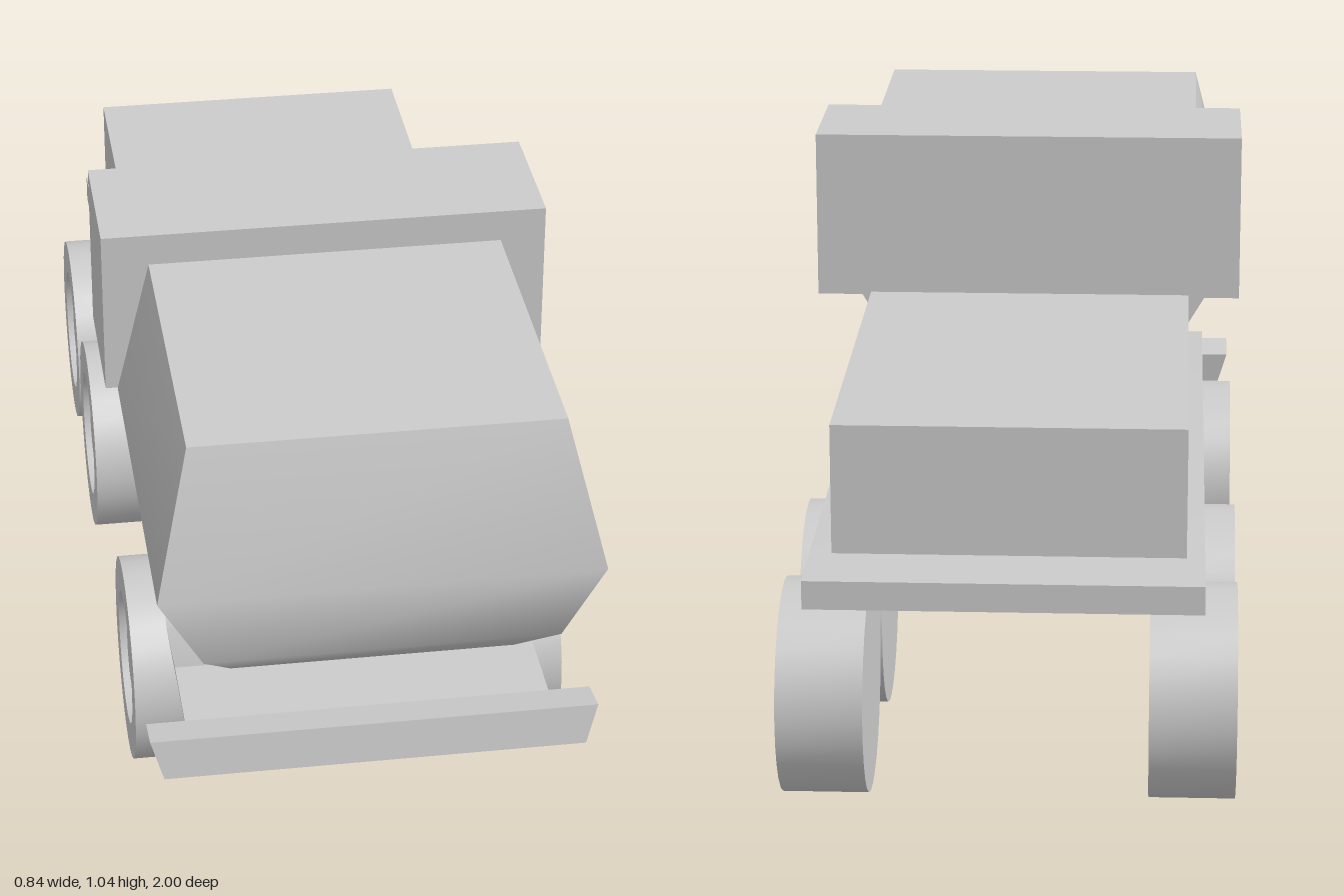
import * as THREE from 'three';
import { toCreasedNormals } from 'three/addons/utils/BufferGeometryUtils.js';

const material = new THREE.MeshStandardMaterial({ color: 0xcccccc });

function addMesh(parent, name, geometry) {
  const mesh = new THREE.Mesh(geometry, material);
  mesh.name = name;
  parent.add(mesh);
  return mesh;
}

// Closed solid through a stack of four-cornered sections
function loft(rings, crease = 0.95) {
  const index = [];
  const n = 4;
  for (let r = 0; r < rings.length - 1; r++) {
    for (let i = 0; i < n; i++) {
      const a = r * n + i, b = r * n + (i + 1) % n;
      index.push(a, b, b + n, a, b + n, a + n);
    }
  }
  const last = (rings.length - 1) * n;
  index.push(0, 2, 1, 0, 3, 2, last, last + 1, last + 2, last, last + 2, last + 3);
  const geometry = new THREE.BufferGeometry();
  geometry.setAttribute('position', new THREE.Float32BufferAttribute(rings.flat(2), 3));
  geometry.setIndex(index);
  return toCreasedNormals(geometry, crease);
}

// Box given by its limits on each axis
function box(x0, x1, y0, y1, z0, z1) {
  return new THREE.BoxGeometry(x1 - x0, y1 - y0, z1 - z0)
    .translate((x0 + x1) / 2, (y0 + y1) / 2, (z0 + z1) / 2);
}

function wheelGeometry() {
  // Radius and distance outward: plain inner face, tread, stepped rim, hub
  const profile = [
    [0, 0], [0.197, 0], [0.197, 0.157], [0.13, 0.157], [0.125, 0.128],
    [0.107, 0.128], [0.102, 0.115], [0.065, 0.115], [0.058, 0.148], [0, 0.148],
  ].map(([r, h]) => new THREE.Vector2(r, h));
  return toCreasedNormals(new THREE.LatheGeometry(profile, 28), 0.6).rotateZ(-Math.PI / 2);
}

export function createModel() {
  const model = new THREE.Group();
  model.name = 'truck';

  // Chassis: flat deck, bend at the front, low step plate
  // top z, top y, bottom z, bottom y, top half width, bottom half width
  const chassis = [
    [-1, 0.47, -1, 0.417, 0.355, 0.355],
    [0.59, 0.469, 0.595, 0.42, 0.355, 0.34],
    [0.622, 0.461, 0.615, 0.405, 0.355, 0.34],
    [0.65, 0.4, 0.635, 0.38, 0.352, 0.34],
    [0.668, 0.325, 0.66, 0.28, 0.34, 0.335],
    [0.865, 0.325, 0.865, 0.28, 0.34, 0.335],
  ].map(([zt, yt, zb, yb, wt, wb]) =>
    [[-wb, yb, zb], [wb, yb, zb], [wt, yt, zt], [-wt, yt, zt]]);
  addMesh(model, 'chassis', loft(chassis));

  // Tilted front bumper, narrower at the bottom
  const bumper = [
    [0.39, 0.281, 0.944, 0.262, 0.863],
    [0.413, 0.356, 0.93, 0.34, 0.853],
  ].map(([w, yf, zf, yb, zb]) => [[-w, yf, zf], [w, yf, zf], [w, yb, zb], [-w, yb, zb]]);
  addMesh(model, 'bumper', loft(bumper));

  // Cab: half width, height and front edge, from the floor to the roof
  const cab = [
    [0.26, 0.474, 0.885], [0.321, 0.575, 1], [0.4, 0.708, 1], [0.335, 0.975, 0.915],
  ].map(([w, y, z]) => [[-w, y, z], [w, y, z], [w, y, 0.28], [-w, y, 0.28]]);
  addMesh(model, 'cab', loft(cab));

  // Boxes behind the cab
  addMesh(model, 'upperBox', box(-0.423, 0.42, 0.71, 1.037, 0.01, 0.28));
  addMesh(model, 'rearBody', box(-0.322, 0.314, 0.474, 0.715, -0.865, 0.25));

  // Three axles, hubs facing outward
  const wheel = wheelGeometry();
  [['front', 0.448], ['middle', -0.365], ['rear', -0.8]].forEach(([axle, z]) => {
    const left = addMesh(model, `${axle}LeftWheel`, wheel);
    left.position.set(0.251, 0.197, z);
    const right = addMesh(model, `${axle}RightWheel`, wheel);
    right.position.set(-0.258, 0.197, z);
    right.rotation.y = Math.PI;
  });

  return model;
}
